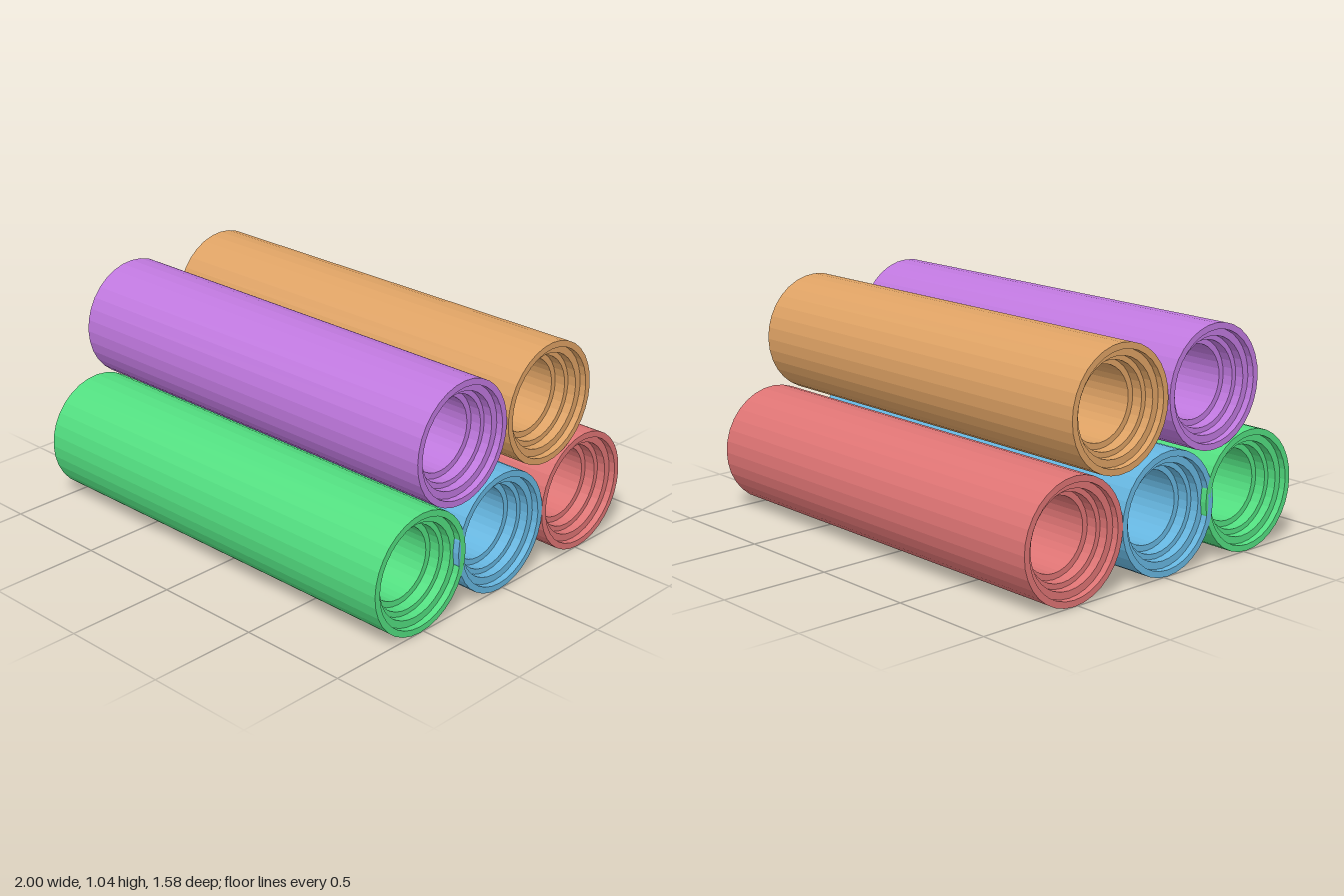
import * as THREE from 'three';

const OUTER = 0.271, HALF = 1;

// Inner steps at each end: [radius, depth where the step ends]
const STEPS = [[0.243, 0.03], [0.211, 0.07], [0.188, 0.12]];
const BORE = 0.162;

// Closed wall profile: outside wall up, stepped mouth in, bore down, stepped mouth out
function tubeGeometry() {
  const mouth = [];
  for (const [r, depth] of STEPS) {
    const start = mouth.length ? mouth[mouth.length - 1][1] : HALF;
    mouth.push([r, start], [r, HALF - depth]);
  }
  mouth.push([BORE, mouth[mouth.length - 1][1]]);
  const profile = [
    [OUTER, -HALF], [OUTER, HALF],
    ...mouth,
    ...mouth.map(([r, y]) => [r, -y]).reverse(),
    [OUTER, -HALF],
  ].map(([r, y]) => new THREE.Vector2(r, y));
  return new THREE.LatheGeometry(profile, 32).rotateZ(-Math.PI / 2);
}

export function createModel() {
  const model = new THREE.Group();
  model.name = 'tubeStack';
  const geometry = tubeGeometry();

  // name, colour, y, z
  const tubes = [
    ['lowerFrontTube', 0x52de80, 0.272, 0.519],
    ['lowerMiddleTube', 0x66b6e0, 0.272, 0.021],
    ['lowerBackTube', 0xde7474, 0.272, -0.519],
    ['upperFrontTube', 0xbf78de, 0.767, 0.283],
    ['upperBackTube', 0xdea264, 0.767, -0.268],
  ];
  for (const [name, color, y, z] of tubes) {
    const material = new THREE.MeshStandardMaterial({ color, flatShading: true });
    const tube = new THREE.Mesh(geometry, material);
    tube.name = name;
    tube.position.set(0, y, z);
    model.add(tube);
  }
  return model;
}
